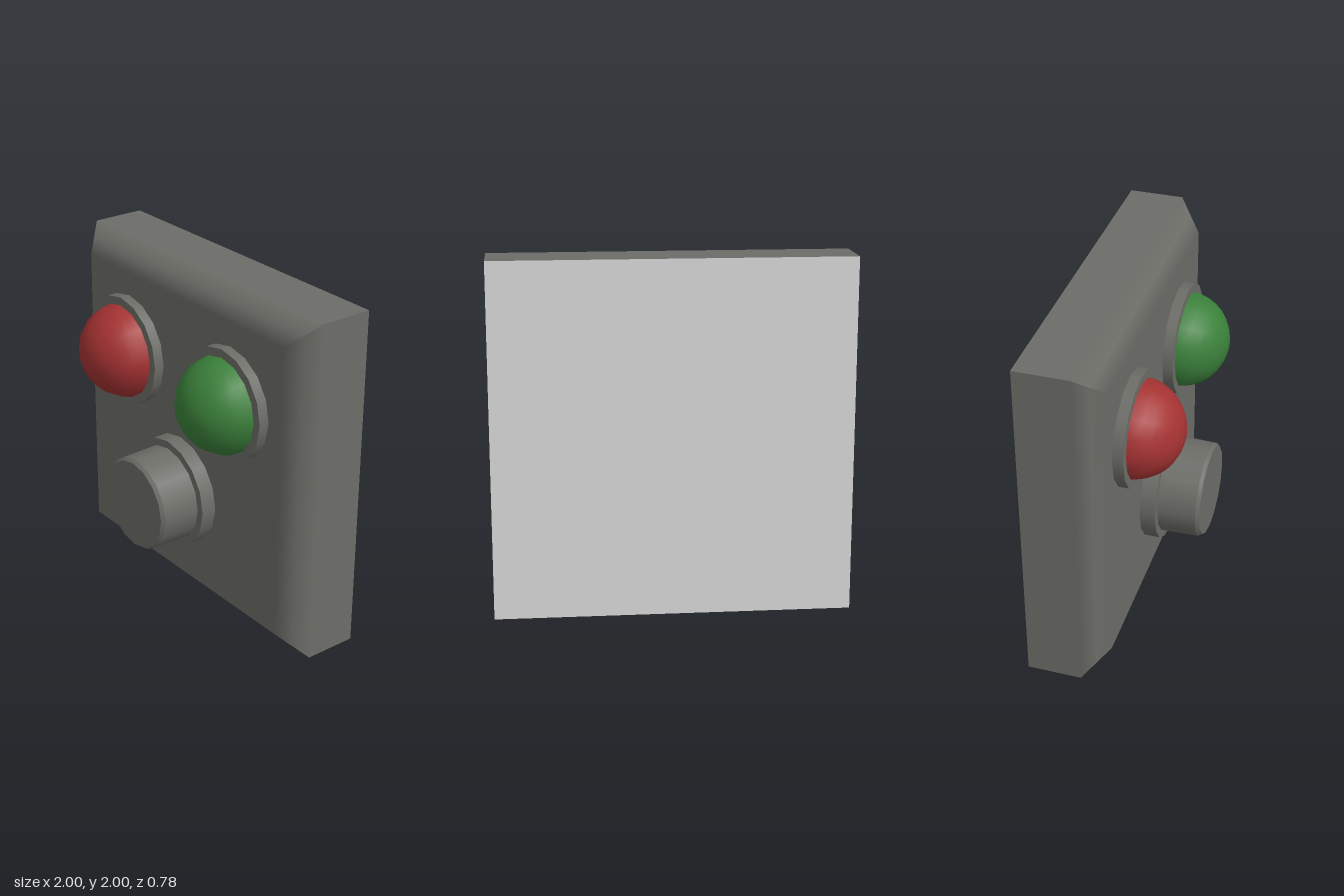
import * as THREE from 'three';

const BACK = -0.39, SHOULDER = -0.08, FACE = 0.06;
const HALF = 1, INSET = 0.86, MID = 1;

function material(name, color) {
  const m = new THREE.MeshStandardMaterial({ color });
  m.name = name;
  return m;
}

// One wall of the housing with its chamfer, softly shaded into the front face
function wallGeometry() {
  const s = Math.SQRT1_2;
  // each row: half width, z, normal y, normal z
  const rows = [
    [HALF, BACK, 1, 0], [HALF, SHOULDER, 1, 0],
    [(HALF + INSET) / 2, (SHOULDER + FACE) / 2, s, s], [INSET, FACE, 0, 1],
  ];
  const pos = [], nor = [], idx = [];
  rows.forEach(([h, z, ny, nz], i) => {
    pos.push(-h, h, z, h, h, z);
    nor.push(0, ny, nz, 0, ny, nz);
    if (i) {
      const a = 2 * i - 2;
      idx.push(a, a + 2, a + 3, a, a + 3, a + 1);
    }
  });
  const g = new THREE.BufferGeometry();
  g.setAttribute('position', new THREE.Float32BufferAttribute(pos, 3));
  g.setAttribute('normal', new THREE.Float32BufferAttribute(nor, 3));
  g.setIndex(idx);
  return g;
}

export function createModel() {
  const model = new THREE.Group();
  model.name = 'buttonPanel';

  const grey = material('housingGrey', 0x6c6c67);
  const pale = material('backGrey', 0xdcdcdc);
  const red = material('lampRed', 0xa53232);
  const green = material('lampGreen', 0x3a803a);

  function add(parent, name, geometry, mat, x, y, z) {
    const mesh = new THREE.Mesh(geometry, mat);
    mesh.name = name;
    mesh.position.set(x, y, z);
    parent.add(mesh);
    return mesh;
  }

  // Square housing with chamfered front
  const housing = new THREE.Group();
  housing.name = 'housing';
  model.add(housing);
  const wall = wallGeometry();
  ['topWall', 'leftWall', 'bottomWall', 'rightWall'].forEach((name, i) => {
    add(housing, name, wall, grey, 0, MID, 0).rotation.z = -i * Math.PI / 2;
  });
  add(housing, 'frontFace', new THREE.PlaneGeometry(2 * INSET, 2 * INSET), grey, 0, MID, FACE);
  add(housing, 'backPlate', new THREE.PlaneGeometry(2 * HALF, 2 * HALF), pale, 0, MID, BACK).rotation.y = Math.PI;

  // Round collars around the controls
  function collar(name, x, y, depth) {
    const g = new THREE.CylinderGeometry(0.325, 0.325, depth, 16).rotateX(Math.PI / 2);
    add(model, name, g, grey, x, y, FACE + depth / 2);
  }

  // Domed lamps
  const dome = new THREE.SphereGeometry(0.28, 16, 8, 0, Math.PI * 2, 0, Math.PI / 2).rotateX(Math.PI / 2);
  for (const [name, x, mat] of [['redLamp', -0.48, red], ['greenLamp', 0.44, green]]) {
    collar(name + 'Collar', x, 1.4, 0.06);
    add(model, name, dome, mat, x, 1.4, 0.08);
  }

  // Push button with a small bevelled rim
  collar('buttonCollar', 0, 0.69, 0.09);
  const shaft = new THREE.CylinderGeometry(0.275, 0.28, 0.22, 16, 1, true).rotateX(Math.PI / 2);
  const rim = new THREE.CylinderGeometry(0.26, 0.275, 0.02, 16).rotateX(Math.PI / 2);
  add(model, 'buttonShaft', shaft, grey, 0, 0.69, 0.26);
  add(model, 'buttonCap', rim, grey, 0, 0.69, 0.38);

  return model;
}
